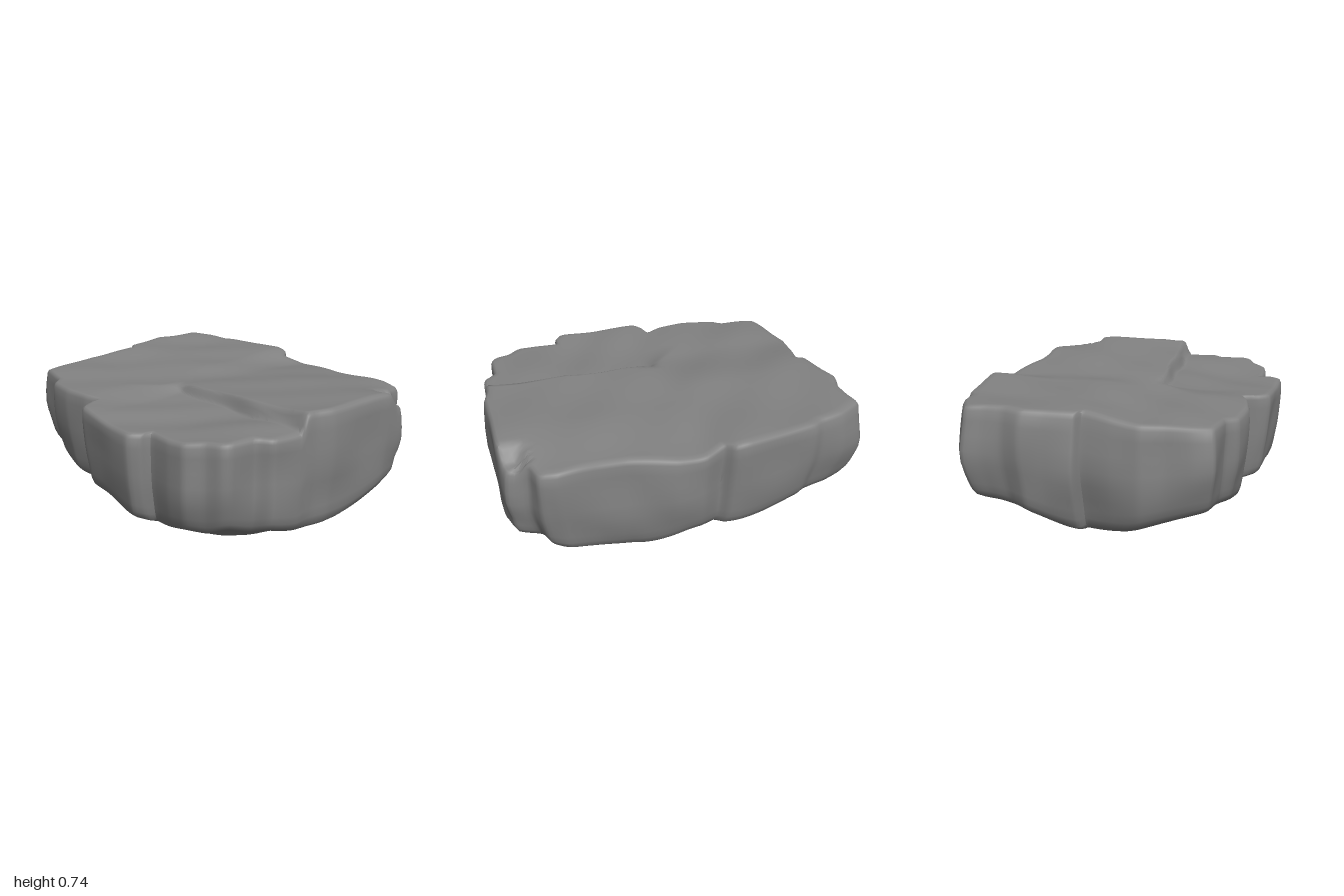
import * as THREE from 'three';
import { toCreasedNormals } from 'three/addons/utils/BufferGeometryUtils.js';

const { smoothstep: smooth, lerp } = THREE.MathUtils;

// Plan outline as [x, z], clockwise seen from above
const backEdge = [
  [-0.97, -0.70], [-0.82, -0.75], [-0.68, -0.76], [-0.62, -0.79], [-0.4, -0.82], [-0.22, -0.84],
  [-0.15, -0.83], [-0.1, -0.78], [0, -0.81], [0.15, -0.8], [0.3, -0.76], [0.4, -0.735],
  [0.55, -0.73], [0.75, -0.74], [0.84, -0.71],
];
const rightEdge = [
  [0.87, -0.61], [0.97, -0.56], [0.995, -0.42], [0.985, -0.2], [0.98, 0], [0.95, 0.1],
  [0.945, 0.2], [0.93, 0.37], [0.86, 0.43], [0.85, 0.58], [0.82, 0.62],
];
const frontEdge = [
  [0.74, 0.65], [0.66, 0.72], [0.55, 0.73], [0.41, 0.72], [0.4, 0.78], [0.35, 0.83], [0.2, 0.82],
  [0, 0.8], [-0.13, 0.78], [-0.17, 0.72], [-0.19, 0.64], [-0.28, 0.67], [-0.45, 0.685],
  [-0.65, 0.65], [-0.71, 0.59],
];
const leftEdge = [
  [-0.92, 0.56], [-0.95, 0.46], [-0.96, 0.33], [-0.98, 0.2], [-0.95, 0.05], [-0.91, -0.1],
  [-0.96, -0.13], [-0.98, -0.28], [-1, -0.4], [-0.96, -0.5], [-0.96, -0.6],
];
// Inner end of the step; the rings spread from here, so their spokes follow the step
const CENTER = [-0.04, 0.165];

// Smooth surface unevenness, about -1 to 1
const bumps = (x, y, z) =>
  (Math.sin(x * 7 + z * 3 + y * 5) + Math.sin(z * 9 - x * 4 + 1.3 + y * 7) + Math.sin(x * 13 + z * 11 - y * 9)) / 3;

// Left and right upper faces, and the front corner sunk below a step
function topSurface(x, z) {
  const left = 0.7 - 0.032 * smooth(z, -0.2, 0.25) - 0.012 * smooth(z, 0.3, 0.65)
    + 0.02 * smooth(-x, 0.6, 0.95) * smooth(-z, -0.2, 0.1) + 0.01 * smooth(-z, 0.3, 0.8);
  const right = 0.68 + 0.065 * x - 0.02 * smooth(-z, 0.3, 0.7)
    - 0.025 * smooth(x, 0.6, 0.9) * smooth(-z, 0.45, 0.75)
    - 0.07 * smooth(x, 0.84, 0.91) * smooth(-z, 0.43, 0.52);
  const corner = 0.632 + 0.012 * bumps(x * 1.2, 0, z) + 0.018 * smooth(x, 0.4, 0.8);
  const face = lerp(left, right, smooth(x, -0.22, 0.06)) + 0.009 * bumps(x, 0, z);
  const stepLine = 0.165 + 0.008 * Math.sin(x * 14);
  const sunk = smooth(z, stepLine - 0.025, stepLine + 0.025) * smooth(x, -0.3 + 0.2 * smooth(-z, -0.4, -0.15), 0);
  return lerp(face, corner, sunk);
}

// Keel-like underside, lowest right of the middle and raised at the corners
const underside = (x, z) => Math.max(0,
  0.008 + 0.05 * smooth(-x, -0.3, 0) + 0.05 * x ** 4 * smooth(-x, 0, 0.3) + 0.1 * smooth(x, 0.64, 0.92)
  + 0.2 * (z + 0.05) ** 2 + 0.08 * smooth(Math.abs(x) + Math.abs(z), 0.95, 1.4) + 0.012 * bumps(x, 1, z));

// Side rings: [fraction of height from the underside, plan scale]
const wall = [
  [0.985, 0.987], [0.95, 0.996], [0.85, 1], [0.7, 1], [0.55, 1], [0.42, 0.995],
  [0.3, 0.982], [0.2, 0.97], [0.12, 0.957], [0.05, 0.937], [0.015, 0.912],
];
const RIM = 0.885;
// The left wall leans in towards its top; the right wall keeps a full foot
const lean = (x, f) => 0.025 * smooth(-x, 0.7, 1) * smooth(f, 0.5, 1) - 0.03 * smooth(x, 0.85, 0.97) * (1 - smooth(f, 0, 0.4));
const lip = (x) => 0.972 - lean(x, 1);

function rockGeometry() {
  const points = [...backEdge, ...rightEdge, ...frontEdge, ...leftEdge].map(([x, z]) => new THREE.Vector3(x, 0, z));
  const loop = new THREE.CatmullRomCurve3(points, true, 'catmullrom', 0.18)
    .getSpacedPoints(320).slice(0, -1).map((p) => [p.x, p.z]);
  const count = loop.length;
  const rings = [];
  const cap = (t, scale, height) => loop.map(([px, pz]) => {
    const x = lerp(CENTER[0], px * scale(px), t), z = lerp(CENTER[1], pz * scale(px), t);
    return [x, height(x, z), z];
  });

  // Top surface, from its middle outward
  for (let k = 0; k <= 30; k++) rings.push(cap(k / 30, lip, topSurface));
  // Worn walls
  for (const [f, s] of wall) {
    rings.push(loop.map(([px, pz]) => {
      const low = underside(px * RIM, pz * RIM);
      const y = lerp(low, topSurface(px * lip(px), pz * lip(px)), f);
      const k = s - lean(px, f) + 0.022 * Math.sin(Math.PI * f) * (bumps(px, y, pz) - 0.2);
      return [px * k, y, pz * k];
    }));
  }
  // Underside, from its rim to the middle
  for (let k = 16; k >= 0; k--) rings.push(cap(k / 16, () => RIM, underside));

  const index = [];
  const last = rings.length - 2;
  for (let r = 0; r <= last; r++) {
    for (let i = 0; i < count; i++) {
      const a = r * count + i, b = r * count + (i + 1) % count, c = b + count, d = a + count;
      if (r > 0) index.push(a, b, c);
      if (r < last) index.push(a, c, d);
    }
  }
  const geometry = new THREE.BufferGeometry();
  geometry.setAttribute('position', new THREE.Float32BufferAttribute(rings.flat(2), 3));
  geometry.setIndex(index);
  return toCreasedNormals(geometry, 1);
}

export function createModel() {
  const group = new THREE.Group();
  group.name = 'rockSlab';
  const rock = new THREE.Mesh(rockGeometry(), new THREE.MeshStandardMaterial({ color: 0x828282 }));
  rock.name = 'rock';
  group.add(rock);
  return group;
}
